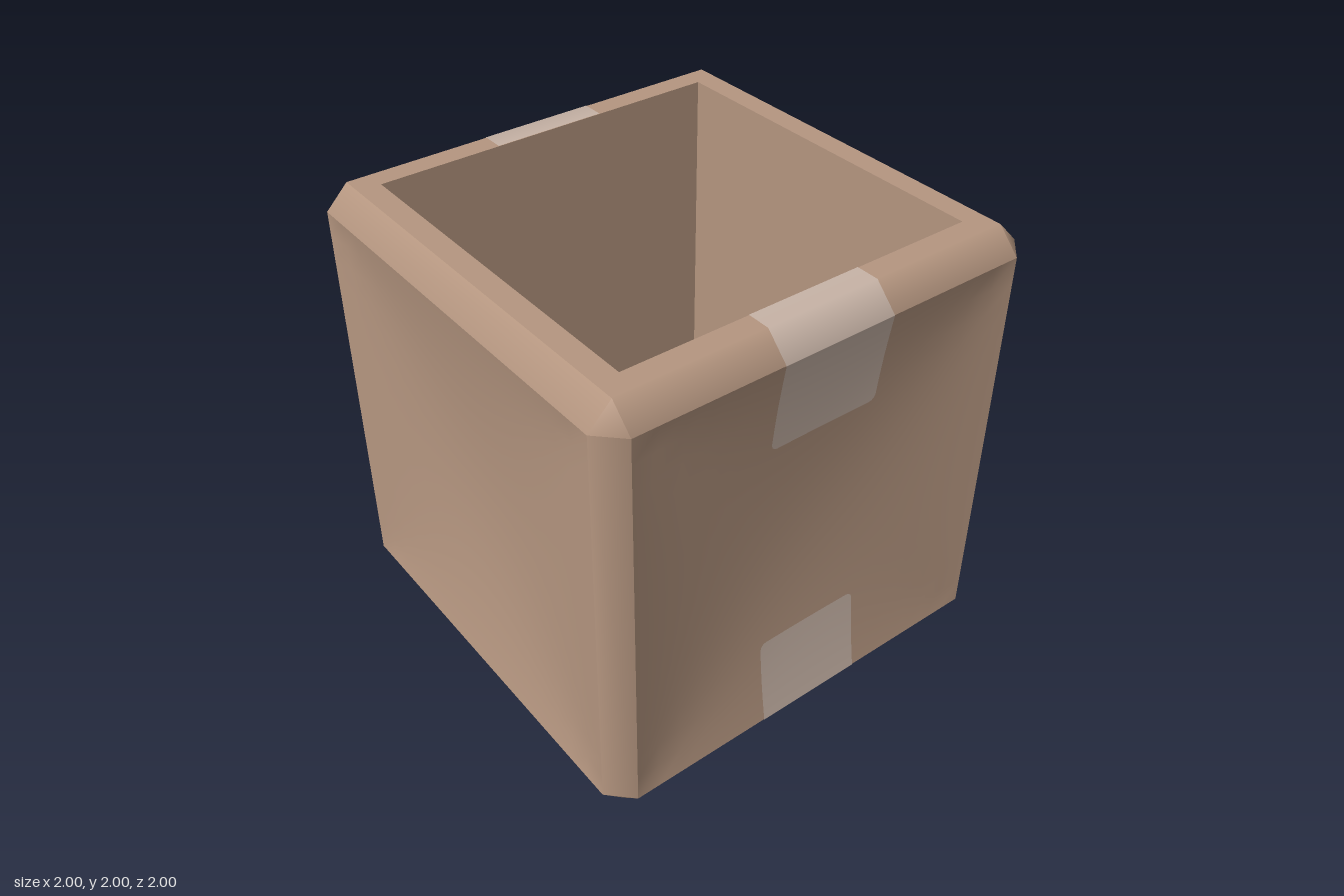
import * as THREE from 'three';

const HALF = 1, FLAT = 0.9, INNER = 0.8, FLOOR = 0.2, DENT = 0.077, GRID = 16;

// Collects polygons with given normals; winding is matched to the normals.
class Surface {
  constructor() { this.pos = []; this.nor = []; }
  poly(pts, normals) {
    const sum = normals.reduce((s, n) => s.add(n), new THREE.Vector3());
    for (let i = 1; i < pts.length - 1; i++) {
      const e1 = pts[i].clone().sub(pts[0]), e2 = pts[i + 1].clone().sub(pts[0]);
      const order = e1.cross(e2).dot(sum) >= 0 ? [0, i, i + 1] : [0, i + 1, i];
      for (const k of order) {
        this.pos.push(...pts[k].toArray());
        this.nor.push(...normals[k].toArray());
      }
    }
  }
  flat(pts, n) { this.poly(pts, pts.map(() => n)); }
  // Skin over rows of { p, n } points
  skin(rows) {
    for (let i = 0; i < rows.length - 1; i++) {
      for (let j = 0; j < rows[i].length - 1; j++) {
        const q = [rows[i][j], rows[i][j + 1], rows[i + 1][j + 1], rows[i + 1][j]];
        this.poly(q.map(k => k.p), q.map(k => k.n));
      }
    }
  }
  mesh(name, material) {
    const g = new THREE.BufferGeometry();
    g.setAttribute('position', new THREE.Float32BufferAttribute(this.pos, 3));
    g.setAttribute('normal', new THREE.Float32BufferAttribute(this.nor, 3));
    const m = new THREE.Mesh(g, material);
    m.name = name;
    return m;
  }
}

const V = (x, y, z) => new THREE.Vector3(x, y, z);
const axisNormal = (a, s) => V(0, 0, 0).setComponent(a, s[a]);
// Corner of the panel on axis a, in the octant given by signs s
const corner = (a, s) => V(...s.map((v, i) => v * (i === a ? HALF : FLAT))).add(V(0, 1, 0));
const SIGNS = [-1, 1];
const RING = [[-1, -1], [1, -1], [1, 1], [-1, 1]];

// Side panels sag inwards, evenly along all four edges: depth and slopes at (u, v)
function sag(u, v) {
  const a = Math.max(1e-3, 1 - (u / FLAT) ** 2), b = Math.max(1e-3, 1 - (v / FLAT) ** 2);
  const f = 1 / Math.sqrt(a ** -2 + b ** -2 - 1), k = -2 * DENT / FLAT ** 2;
  return { depth: DENT * f, du: k * u * (f / a) ** 3, dv: k * v * (f / b) ** 3 };
}

// Point and normal on the sagging panel facing axis a, sign s
function panelPoint(a, s, u, v) {
  const b = (a + 1) % 3, c = (a + 2) % 3, { depth, du, dv } = sag(u, v);
  const p = V(0, 0, 0).setComponent(a, s * (HALF - depth)).setComponent(b, u).setComponent(c, v);
  const n = V(0, 0, 0).setComponent(a, s).setComponent(b, du).setComponent(c, dv).normalize();
  return { p: p.add(V(0, 1, 0)), n };
}

// Four sagging sides and a flat base
function panels(material) {
  const s = new Surface();
  const steps = Array.from({ length: GRID + 1 }, (_, i) => FLAT * (2 * i / GRID - 1));
  for (const a of [0, 2]) for (const sign of SIGNS) {
    s.skin(steps.map(u => steps.map(v => panelPoint(a, sign, u, v))));
  }
  s.flat(RING.map(([x, z]) => V(x * FLAT, 0, z * FLAT)), V(0, -1, 0));
  return s.mesh('panels', material);
}

// Twelve bevelled edges and eight corner triangles, softly shaded
function bevels(material) {
  const s = new Surface();
  const soften = normals => {
    const mid = normals.reduce((t, n) => t.add(n), V(0, 0, 0)).normalize();
    return normals.map(n => n.clone().add(mid).normalize());
  };
  for (let a = 0; a < 3; a++) {
    const b = (a + 1) % 3, c = (a + 2) % 3;
    const signs = (u, v, w) => { const r = []; r[a] = u; r[b] = v; r[c] = w; return r; };
    for (const u of SIGNS) for (const v of SIGNS) {
      const lo = signs(u, v, -1), hi = signs(u, v, 1);
      const [na, nb] = soften([axisNormal(a, lo), axisNormal(b, lo)]);
      s.poly([corner(a, lo), corner(a, hi), corner(b, hi), corner(b, lo)], [na, na, nb, nb]);
    }
  }
  for (const x of SIGNS) for (const y of SIGNS) for (const z of SIGNS) {
    const o = [x, y, z];
    s.poly([0, 1, 2].map(a => corner(a, o)), soften([0, 1, 2].map(a => axisNormal(a, o))));
  }
  return s.mesh('bevels', material);
}

// Flat rim round the open top, inner walls and floor
function rimAndInterior(material) {
  const s = new Surface();
  RING.forEach(([x, z], i) => {
    const [x2, z2] = RING[(i + 1) % 4];
    s.flat([V(x * FLAT, 2, z * FLAT), V(x2 * FLAT, 2, z2 * FLAT),
      V(x2 * INNER, 2, z2 * INNER), V(x * INNER, 2, z * INNER)], V(0, 1, 0));
    const p = (px, y, pz) => V(px * INNER, y, pz * INNER);
    s.flat([p(x, FLOOR, z), p(x2, FLOOR, z2), p(x2, 2, z2), p(x, 2, z)],
      V(-(x + x2) / 2, 0, -(z + z2) / 2));
  });
  s.flat(RING.map(([x, z]) => V(x * INNER, FLOOR, z * INNER)), V(0, 1, 0));
  return s.mesh('rimAndInterior', material);
}

const COLUMNS = [-1, -0.5, 0, 0.5, 1], LIFT = 0.002;
const lifted = ({ p, n }) => ({ p: p.addScaledVector(n, LIFT), n });

// Tape row on a flat part at (y, z) with normal (ny, nz)
const flatRow = (y, z, ny, nz, w) =>
  COLUMNS.map(c => lifted({ p: V(c * w, y, z), n: V(0, ny, nz).normalize() }));

// Tape rows on the front or back panel, from a rounded end at y0 to the panel edge at y1
function panelRows(y0, y1, side, w) {
  const r = 0.03, d = Math.sign(y1 - y0), rows = [];
  const add = (y, half) => rows.push(COLUMNS.map(c => lifted(panelPoint(2, side, c * half, y - 1))));
  for (let i = 0; i < 4; i++) {
    const t = i / 3 * Math.PI / 2;
    add(y0 + d * r * (1 - Math.cos(t)), w - r * (1 - Math.sin(t)));
  }
  for (let i = 1; i <= 4; i++) add(THREE.MathUtils.lerp(y0 + d * r, y1, i / 4), w);
  return rows;
}

function tape(name, rows, material) {
  const s = new Surface();
  s.skin(rows);
  return s.mesh(name, material);
}

export function createModel() {
  const cardboard = new THREE.MeshStandardMaterial({ color: 0xb59680 });
  cardboard.name = 'cardboard';
  const tapeMaterial = new THREE.MeshStandardMaterial({ color: 0xc8b4a7, side: THREE.DoubleSide });
  tapeMaterial.name = 'tape';

  const group = new THREE.Group();
  group.name = 'openBox';
  group.add(panels(cardboard), bevels(cardboard), rimAndInterior(cardboard));

  // Short tapes over the front and back rims
  for (const z of SIGNS) {
    const w = 0.255;
    group.add(tape(z > 0 ? 'frontTopTape' : 'backTopTape', [
      ...panelRows(1.5, 1.9, z, w),
      flatRow(1.9, z, 0.4, z, w), flatRow(2, z * FLAT, 1, z * 0.4, w),
      flatRow(2, z * INNER, 1, 0, w),
    ], tapeMaterial));
  }

  // Long tape from the front, under the base and up the back
  const w = 0.25;
  group.add(tape('bottomTape', [
    ...panelRows(0.5, 0.1, 1, w),
    flatRow(0.1, 1, -0.4, 1, w), flatRow(0, FLAT, -1, 0.4, w),
    flatRow(0, FLAT, -1, 0, w), flatRow(0, -FLAT, -1, 0, w),
    flatRow(0, -FLAT, -1, -0.4, w), flatRow(0.1, -1, -0.4, -1, w),
    ...panelRows(0.5, 0.1, -1, w).reverse(),
  ], tapeMaterial));
  return group;
}
